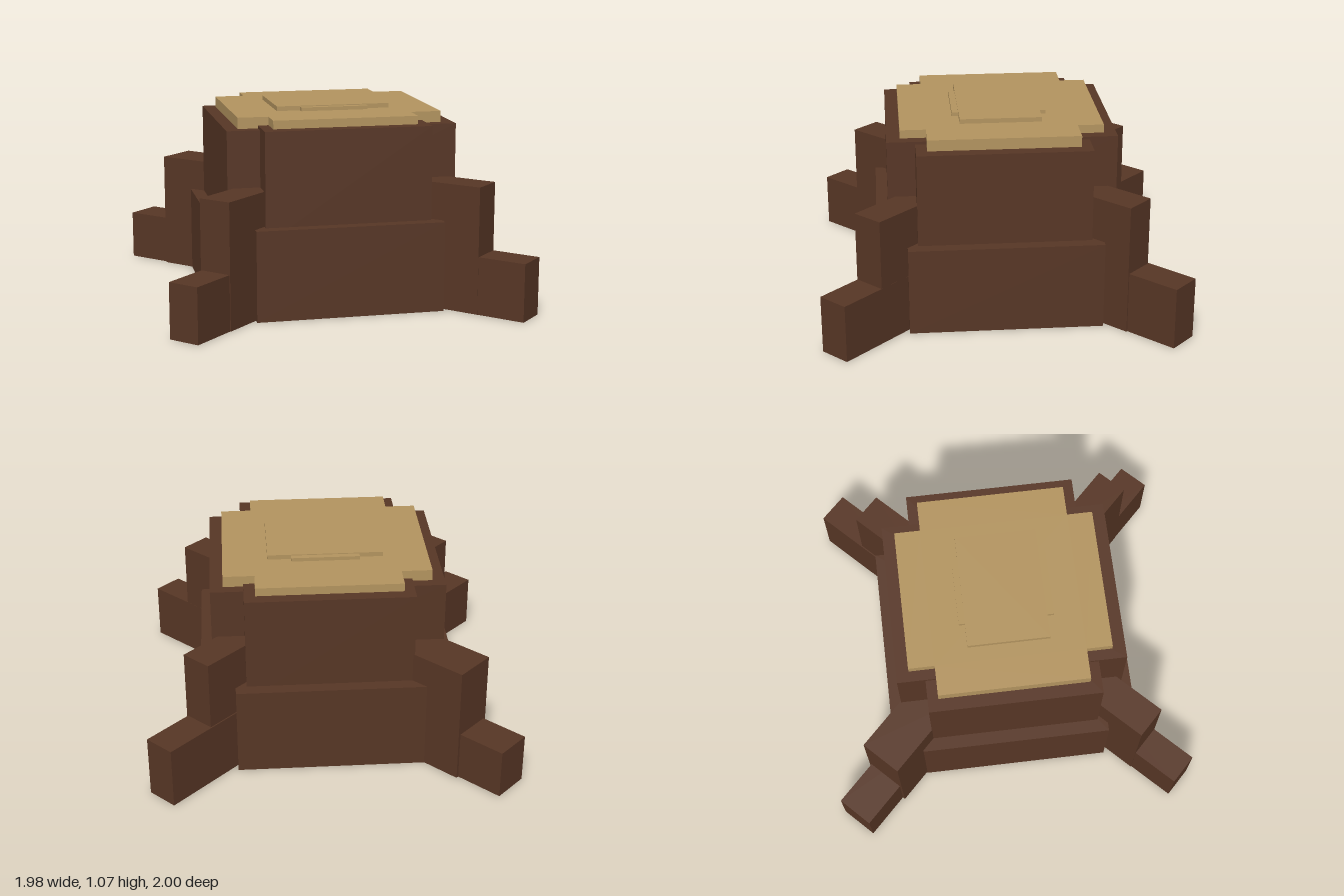
import * as THREE from 'three';

export function createModel() {
  const model = new THREE.Group();
  const bark = new THREE.MeshStandardMaterial({ color: 0x573625 });
  bark.name = 'bark brown';
  const wood = new THREE.MeshStandardMaterial({ color: 0xb3945f });
  wood.name = 'cut wood tan';

  // Box given by its limits on each axis
  function block(name, material, [x0, x1], [y0, y1], [z0, z1]) {
    const mesh = new THREE.Mesh(new THREE.BoxGeometry(x1 - x0, y1 - y0, z1 - z0), material);
    mesh.position.set((x0 + x1) / 2, (y0 + y1) / 2, (z0 + z1) / 2);
    mesh.name = name;
    model.add(mesh);
  }

  // Flat cross-shaped slab: a wide bar crossed by a deep bar
  function crossSlab(name, [x0, x1, x2, x3], [z0, z1, z2, z3], y0, y1) {
    const outline = [
      [x0, z1], [x1, z1], [x1, z0], [x2, z0], [x2, z1], [x3, z1],
      [x3, z2], [x2, z2], [x2, z3], [x1, z3], [x1, z2], [x0, z2],
    ].map(([x, z]) => new THREE.Vector2(x, -z));
    const geometry = new THREE.ExtrudeGeometry(new THREE.Shape(outline), { depth: y1 - y0, bevelEnabled: false });
    geometry.rotateX(-Math.PI / 2);
    const mesh = new THREE.Mesh(geometry, wood);
    mesh.position.y = y0;
    mesh.name = name;
    model.add(mesh);
  }

  // Trunk: two crossed blocks at the base, two narrower ones above
  block('trunkBaseDeep', bark, [-0.49, 0.523], [0, 0.488], [-0.667, 0.69]);
  block('trunkBaseWide', bark, [-0.675, 0.708], [0, 0.477], [-0.507, 0.53]);
  block('trunkTopDeep', bark, [-0.43, 0.465], [0.4, 0.995], [-0.597, 0.625]);
  block('trunkTopWide', bark, [-0.605, 0.64], [0.4, 0.98], [-0.447, 0.475]);

  // Cut face and the raised rings at its centre
  crossSlab('cutFace', [-0.537, -0.373, 0.405, 0.572], [-0.53, -0.39, 0.415, 0.553], 0.978, 1.04);
  block('heartwoodWide', wood, [-0.293, 0.33], [1.03, 1.065], [-0.208, 0.232]);
  block('heartwoodDeep', wood, [-0.165, 0.203], [1.03, 1.06], [-0.24, 0.267]);

  // Stepped diagonal roots: [end x, end z, height, width] for the low and high step
  const roots = [
    { name: 'frontLeftRoot', low: [0.928, 0.923, 0.315, 0.177], high: [0.738, 0.735, 0.69, 0.178] },
    { name: 'backLeftRoot', low: [0.928, -0.898, 0.338, 0.177], high: [0.723, -0.683, 0.713, 0.178] },
    { name: 'frontRightRoot', low: [-0.903, 0.933, 0.298, 0.177], high: [-0.713, 0.743, 0.675, 0.185] },
    { name: 'backRightRoot', low: [-0.92, -0.928, 0.272, 0.208], high: [-0.73, -0.738, 0.65, 0.238] },
  ];
  for (const root of roots) {
    const group = new THREE.Group();
    group.name = root.name;
    for (const step of ['low', 'high']) {
      const [x, z, height, width] = root[step];
      const length = step === 'low' ? 0.72 : 0.5;
      const geometry = new THREE.BoxGeometry(width, height, length);
      geometry.translate(0, height / 2, -length / 2);
      const mesh = new THREE.Mesh(geometry, bark);
      mesh.position.set(x, 0, z);
      mesh.rotation.y = Math.atan2(Math.sign(x), Math.sign(z));
      mesh.name = step + 'Step';
      group.add(mesh);
    }
    model.add(group);
  }
  return model;
}
